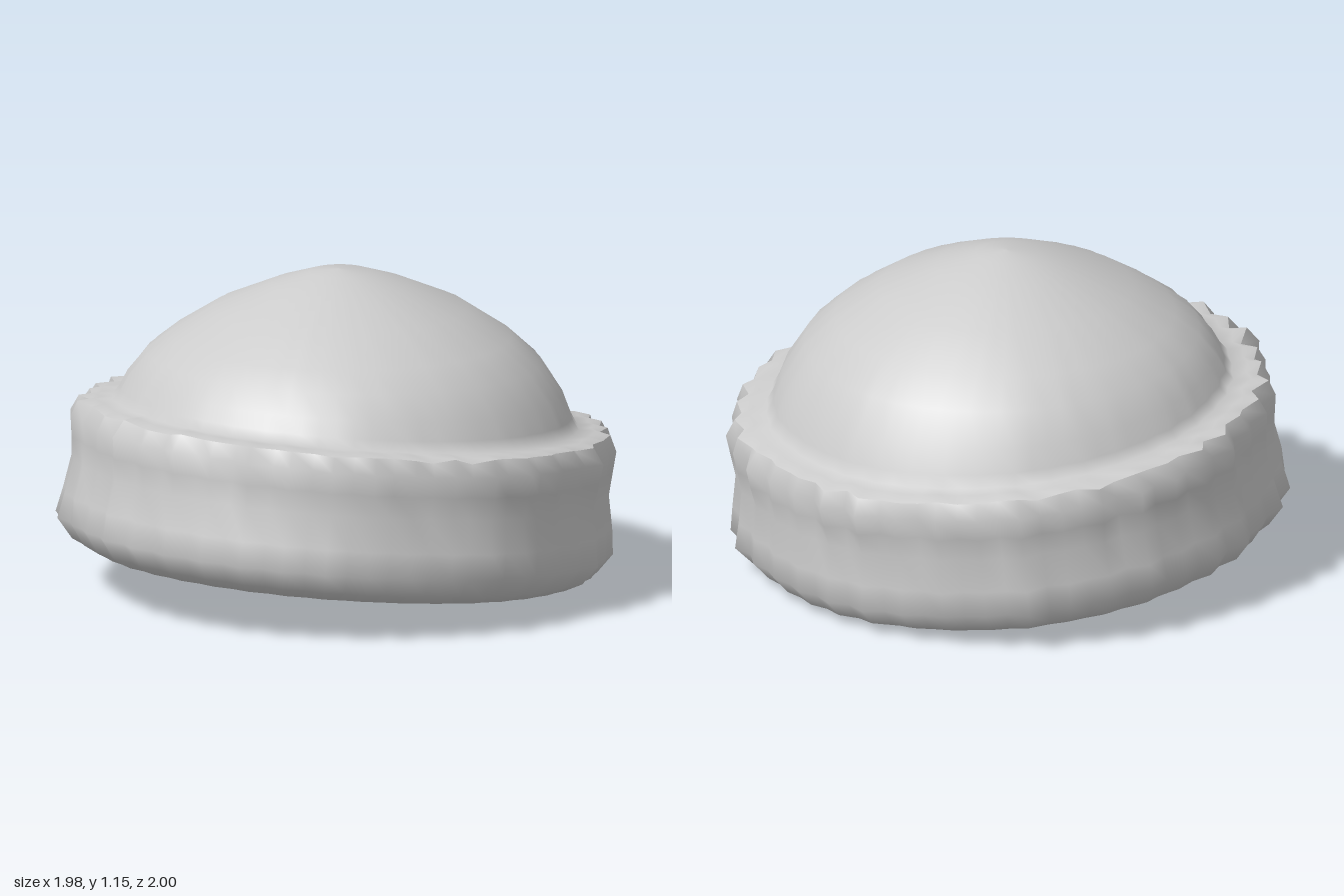
import * as THREE from 'three';

const TILT = 0.1; // the cuff leans back, so its brim rises towards the front
const SEGMENTS = 80; // two per knitted rib

// Repeatable noise in -1..1
function noise(a, b = 0) {
  const s = Math.sin(a * 127.1 + b * 311.7) * 43758.5453;
  return (s - Math.floor(s)) * 2 - 1;
}

// Lofts closed rings along a profile of [radius, height, ribDepth, edgeWave].
// Outer walls run upwards, inner walls downwards.
function loft(name, profile) {
  const pos = [], index = [];
  for (const [r, h, depth = 0, wave = 0] of profile) {
    // The tilt fades out towards the crown
    const tilt = TILT * (1 - THREE.MathUtils.smoothstep(h, 0.6, 1.0));
    for (let j = 0; j < SEGMENTS; j++) {
      const a = (j / SEGMENTS) * Math.PI * 2;
      const ridge = j % 2 ? -1 : 1;
      const rib = ridge * (0.65 + 0.45 * noise(j, 1)) + 0.35 * noise(j, Math.round(h * 6));
      const rr = r + depth * rib;
      const y = h + wave * (0.7 * noise(j, 2) + 0.5 * ridge);
      const z = Math.cos(a) * rr;
      pos.push(Math.sin(a) * rr, y + tilt * z, z - tilt * (h - 0.33));
    }
  }
  for (let i = 0; i < profile.length - 1; i++) {
    for (let j = 0; j < SEGMENTS; j++) {
      const a = i * SEGMENTS + j, b = i * SEGMENTS + (j + 1) % SEGMENTS;
      const d = a + SEGMENTS, e = b + SEGMENTS;
      index.push(a, b, d, b, e, d);
    }
  }
  const geo = new THREE.BufferGeometry();
  geo.setAttribute('position', new THREE.Float32BufferAttribute(pos, 3));
  geo.setIndex(index);
  geo.computeVertexNormals();
  const mesh = new THREE.Mesh(geo, new THREE.MeshStandardMaterial({ color: 0xcccccc }));
  mesh.name = name;
  return mesh;
}

export function createModel() {
  const group = new THREE.Group();
  group.name = 'knitCap';

  // Top edge of the cuff, shared by cuff and crown
  const edge = [0.925, 0.61, 0.026, 0.011];

  // Folded cuff: inner wall widening upwards, rounded lower rim, ribbed outside
  group.add(loft('cuff', [
    [0.795, 0.58], [0.775, 0.42], [0.755, 0.28], [0.735, 0.19, 0.003],
    [0.755, 0.13, 0.004], [0.805, 0.095, 0.005], [0.865, 0.088, 0.006], [0.925, 0.12, 0.012],
    [0.975, 0.19, 0.018], [0.965, 0.28, 0.017], [0.945, 0.4, 0.015], [0.95, 0.48, 0.02],
    [0.955, 0.555, 0.026, 0.004], edge,
  ]));

  // Crown: the cuff's top edge runs inwards and blends into a pleated dome
  group.add(loft('crown', [
    edge, [0.88, 0.622, 0.014, 0.006], [0.825, 0.622, 0.007], [0.8, 0.66, 0.006],
    [0.77, 0.73, 0.005], [0.7, 0.83, 0.004], [0.605, 0.91, 0.003], [0.45, 1.01, 0.002],
    [0.25, 1.095], [0.11, 1.14], [0.001, 1.15],
  ]));

  // Lining: the inner face of the dome, apex first
  group.add(loft('lining', [
    [0.001, 1.135], [0.11, 1.125], [0.25, 1.08], [0.445, 0.995], [0.595, 0.895],
    [0.685, 0.82], [0.755, 0.725], [0.785, 0.66], [0.795, 0.58],
  ]));

  return group;
}
